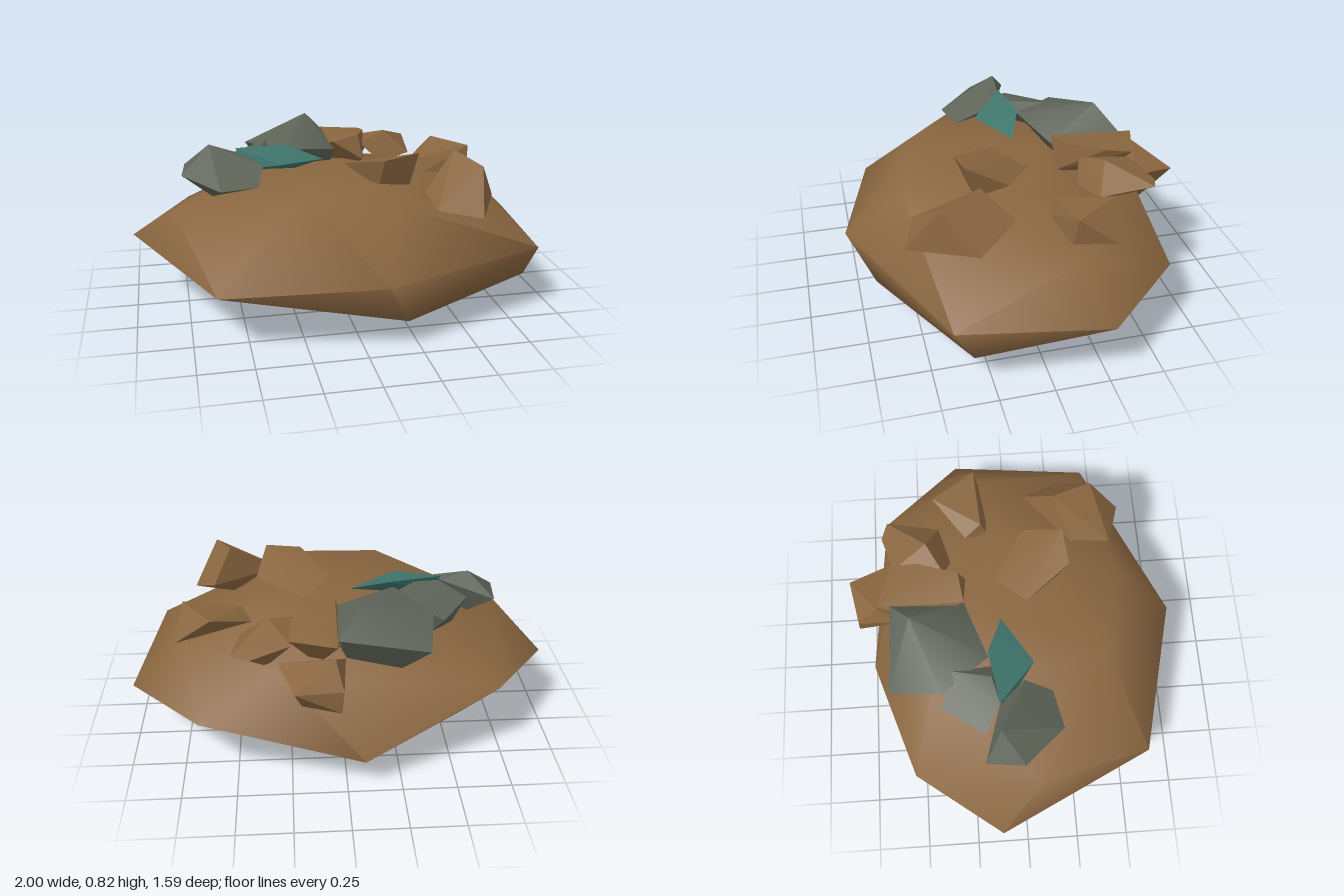
import * as THREE from 'three';
import { ConvexGeometry } from 'three/addons/geometries/ConvexGeometry.js';
import { toCreasedNormals } from 'three/addons/utils/BufferGeometryUtils.js';

const material = (name, color) => {
  const m = new THREE.MeshStandardMaterial({ color });
  m.name = name;
  return m;
};

// A rock is the hull of a few corner points; creases sharper than the angle stay hard.
function rock(name, mat, crease, points) {
  const hull = new ConvexGeometry(points.map((p) => new THREE.Vector3(...p)));
  const mesh = new THREE.Mesh(toCreasedNormals(hull, crease), mat);
  mesh.name = name;
  return mesh;
}

export function createModel() {
  const model = new THREE.Group();
  model.name = 'rockMound';
  const brown = material('brown earth', 0x8a6640);
  const grey = material('grey stone', 0x5e6458);
  const teal = material('teal crystal', 0x3f756c);

  // Wide boulder: rim, crown, then underside
  model.add(rock('boulder', brown, 1.3, [
    [-1, 0.33, -0.12], [-0.71, 0.38, -0.52], [-0.08, 0.155, -0.74], [0.66, 0.32, -0.64],
    [1, 0.29, -0.26], [0.91, 0.32, 0.42], [0.08, 0.34, 0.79], [-0.64, 0.28, 0.62],
    [-0.8, 0.51, 0.08], [-0.22, 0.65, 0.42], [0.2, 0.61, 0.52], [0.78, 0.51, -0.2],
    [0.4, 0.605, 0], [0.3, 0.55, -0.58], [-0.35, 0.57, -0.42], [0, 0.63, -0.2],
    [0.88, 0.15, 0.33], [0.2, 0.12, 0.67], [-0.61, 0, -0.17], [0.31, 0, -0.05],
  ]));

  // Grey stones on the right rear
  model.add(rock('largeGreyStone', grey, 0.8, [
    [-0.37, 0.64, -0.61], [0.04, 0.7, -0.59], [-0.07, 0.82, -0.49], [0.04, 0.68, -0.24],
    [-0.25, 0.72, -0.14], [-0.41, 0.71, -0.36], [-0.25, 0.49, -0.5], [-0.03, 0.49, -0.46],
    [0.02, 0.57, -0.3],
  ]));
  model.add(rock('outerGreyStone', grey, 0.3, [
    [-0.75, 0.655, 0], [-0.73, 0.66, -0.18], [-0.61, 0.775, -0.1], [-0.58, 0.62, 0.19],
    [-0.4, 0.62, 0.15], [-0.36, 0.69, 0.02], [-0.48, 0.73, -0.1], [-0.61, 0.55, 0.02],
    [-0.62, 0.56, -0.1],
  ]));
  model.add(rock('middleGreyStone', grey, 0.3, [
    [-0.6, 0.67, -0.17], [-0.46, 0.66, -0.37], [-0.31, 0.73, -0.31], [-0.28, 0.68, -0.1],
    [-0.35, 0.74, -0.13], [-0.47, 0.73, -0.1], [-0.53, 0.56, -0.2], [-0.4, 0.55, -0.3],
  ]));
  model.add(rock('tealCrystal', teal, 0.2, [
    [-0.48, 0.75, -0.1], [-0.23, 0.745, -0.14], [-0.05, 0.68, -0.07], [-0.28, 0.7, 0.07],
    [-0.45, 0.65, -0.06], [-0.2, 0.65, -0.04],
  ]));

  // Brown stones at the rear, left and front
  const brownStones = {
    rearStone: [
      [0.02, 0.55, -0.76], [0.23, 0.57, -0.8], [0.05, 0.65, -0.66], [0.3, 0.6, -0.59],
      [0, 0.58, -0.54], [0.03, 0.45, -0.77], [0.2, 0.41, -0.65],
    ],
    innerStone: [
      [0.04, 0.7, -0.65], [0.25, 0.7, -0.58], [0.24, 0.72, -0.45], [0.17, 0.745, -0.26],
      [0.03, 0.72, -0.24], [-0.02, 0.63, -0.45], [0.19, 0.62, -0.23], [0.12, 0.5, -0.45],
    ],
    ridgedStone: [
      [0.24, 0.67, -0.57], [0.42, 0.64, -0.63], [0.5, 0.65, -0.6], [0.47, 0.61, -0.35],
      [0.34, 0.725, -0.41], [0.2, 0.68, -0.33], [0.3, 0.58, -0.3], [0.35, 0.53, -0.5],
    ],
    sideStone: [
      [0.42, 0.6, -0.22], [0.6, 0.69, -0.37], [0.77, 0.56, -0.33], [0.74, 0.685, -0.16],
      [0.73, 0.56, -0.14], [0.45, 0.55, -0.1], [0.47, 0.64, -0.14],
    ],
    // slab leaning up towards the front
    tiltedStone: [
      [0.03, 0.69, 0.06], [0.17, 0.64, -0.09], [0.4, 0.69, 0.06], [0.35, 0.775, 0.25],
      [0.18, 0.75, 0.27], [0.17, 0.6, 0.2], [0.32, 0.6, 0.2],
    ],
    frontStone: [
      [0.37, 0.57, 0.5], [0.57, 0.54, 0.56], [0.72, 0.55, 0.26], [0.61, 0.64, 0.08],
      [0.37, 0.6, 0.3], [0.53, 0.775, 0.22], [0.61, 0.74, 0.41], [0.52, 0.52, 0.25],
    ],
  };
  for (const [name, points] of Object.entries(brownStones)) {
    model.add(rock(name, brown, 0.25, points));
  }
  return model;
}
